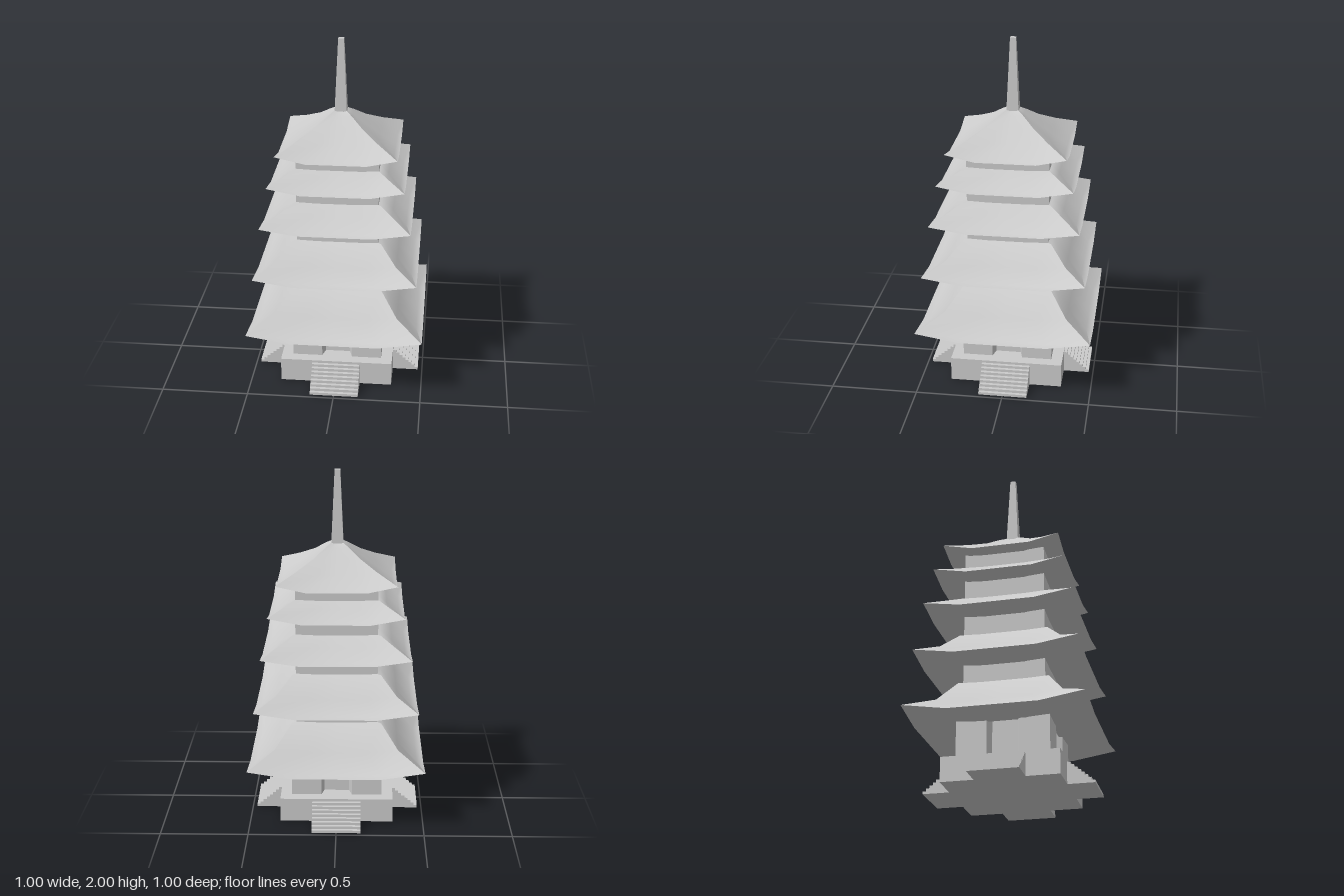
import * as THREE from 'three';

const mat = new THREE.MeshStandardMaterial({ color: 0xcccccc, side: THREE.DoubleSide });

function add(parent, geo, name, x = 0, y = 0, z = 0) {
  const m = new THREE.Mesh(geo, mat);
  m.name = name;
  m.position.set(x, y, z);
  parent.add(m);
  return m;
}

// One side (+z) of a hipped surface. Each row holds the hip point (half width, height),
// the middle's own distance from the axis and its height.
function hipSide(rows) {
  const pos = [], idx = [], cols = [-1, -0.5, 0, 0.5, 1], n = cols.length;
  for (const [half, hipY, midZ, midY] of rows)
    for (const c of cols) {
      const hip = Math.abs(c) === 1;
      pos.push(c * half, hip ? hipY : midY, hip ? half : midZ);
    }
  for (let r = 0; r < rows.length - 1; r++)
    for (let c = 0; c < n - 1; c++) {
      const a = r * n + c, b = a + 1, d = a + n, e = d + 1;
      idx.push(a, b, e, a, e, d);
    }
  const g = new THREE.BufferGeometry();
  g.setAttribute('position', new THREE.Float32BufferAttribute(pos, 3));
  g.setIndex(idx);
  g.computeVertexNormals();
  return g;
}

// Roof: curved top with lifted corners, underside and flat cap
function roof(parent, name, eaveY, profile, wall) {
  const group = new THREE.Group();
  group.name = name;
  const [[half, cornerY], ...upper] = profile;
  const rows = [
    [half, cornerY, half, eaveY],
    [half, cornerY, half * 0.92, eaveY + 0.006],
    ...upper.map(([w, y], i) => [w, y, w, y - (i === 0 ? 0.02 : 0.005)]),
  ];
  const [topW, topY] = upper[upper.length - 1];
  rows.push([0.01, topY, 0.01, topY]);
  const top = hipSide(rows);
  const under = hipSide([
    [wall - 0.02, eaveY + 0.012, wall - 0.02, eaveY + 0.005],
    [half, cornerY, half, eaveY],
  ]);
  for (let i = 0; i < 4; i++) {
    add(group, top, 'roofSlope').rotation.y = i * Math.PI / 2;
    add(group, under, 'eaveUnderside').rotation.y = i * Math.PI / 2;
  }
  parent.add(group);
}

// Horizontal plan extruded upwards
function prism(points, height) {
  const shape = new THREE.Shape(points.map(([x, y]) => new THREE.Vector2(x, y)));
  const g = new THREE.ExtrudeGeometry(shape, { depth: height, bevelEnabled: false });
  return g.rotateX(-Math.PI / 2);
}

export function createModel() {
  const model = new THREE.Group();
  model.name = 'pagoda';

  // Stone base
  add(model, new THREE.BoxGeometry(0.65, 0.14, 0.65), 'base', 0, 0.07, 0);

  // Four flights of steps
  const steps = 8, rise = 0.125 / steps, run = 0.15 / steps;
  const stair = new THREE.Shape();
  stair.moveTo(0, 0);
  stair.lineTo(0, 0.125);
  for (let i = 0; i < steps; i++) {
    stair.lineTo((i + 1) * run, 0.125 - i * rise);
    stair.lineTo((i + 1) * run, 0.125 - (i + 1) * rise);
  }
  const stairGeo = new THREE.ExtrudeGeometry(stair, { depth: 0.28, bevelEnabled: false });
  stairGeo.translate(0.325, 0, -0.14);
  for (let i = 0; i < 4; i++) add(model, stairGeo, 'stairs').rotation.y = i * Math.PI / 2;

  // Ground floor with a splayed doorway recess on each side
  const w = 0.26, plan = [];
  for (let i = 0; i < 4; i++) {
    const c = [1, 0, -1, 0][i], s = [0, 1, 0, -1][i];
    for (const [x, y] of [[w, -w], [w, -0.088], [w - 0.06, -0.072], [w - 0.06, 0.072], [w, 0.088]])
      plan.push([x * c - y * s, x * s + y * c]);
  }
  add(model, prism(plan, 0.24), 'groundFloor', 0, 0.13, 0);

  // Upper storeys: bottom and top height
  for (const [y0, y1] of [[0.56, 0.71], [0.85, 1.01], [1.08, 1.235], [1.28, 1.405]])
    add(model, new THREE.BoxGeometry(0.464, y1 - y0, 0.464), 'storey', 0, (y0 + y1) / 2, 0);

  // Roofs: eave height, then hip points from corner to top
  const roofs = [
    [0.345, [[0.5, 0.385], [0.35, 0.46], [0.255, 0.585]]],
    [0.685, [[0.46, 0.72], [0.34, 0.78], [0.25, 0.877]]],
    [0.985, [[0.42, 1.017], [0.31, 1.075], [0.245, 1.11]]],
    [1.21, [[0.38, 1.246], [0.28, 1.29], [0.235, 1.312]]],
    [1.38, [[0.337, 1.417], [0.22, 1.47], [0.13, 1.52], [0.065, 1.57], [0.034, 1.59]]],
  ];
  roofs.forEach(([eaveY, profile], i) =>
    roof(model, 'roof' + (i + 1), eaveY, profile, i === 0 ? 0.26 : 0.232));

  // Tapered square spire
  const k = Math.SQRT2;
  const spire = new THREE.CylinderGeometry(0.016 * k, 0.035 * k, 0.43, 4, 1).toNonIndexed();
  spire.rotateY(Math.PI / 4);
  spire.computeVertexNormals();
  add(model, spire, 'spire', 0, 1.785, 0);

  return model;
}
